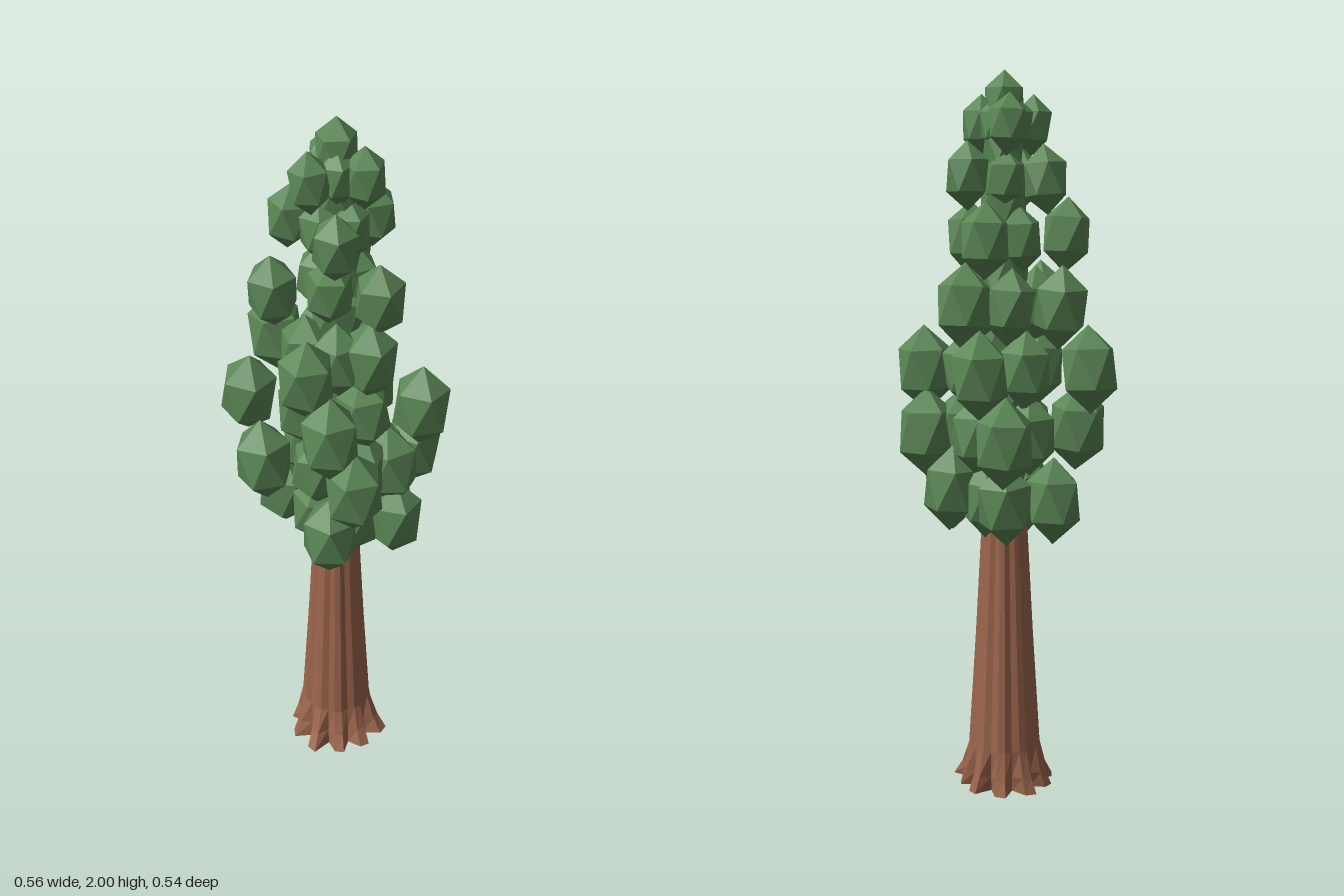
import * as THREE from 'three';

const bark = new THREE.MeshStandardMaterial({ color: 0x9c664d, flatShading: true });
bark.name = 'bark brown';
const leaf = new THREE.MeshStandardMaterial({ color: 0x5b8756, flatShading: true });
leaf.name = 'leaf green';

// small seeded random
let seed = 7;
const rnd = () => (seed = (seed * 16807) % 2147483647) / 2147483647;

// gently fluted trunk with a flared, irregular root edge
function trunkGeometry() {
  const shape = [1, 0.85, 0];
  const ridges = 10, n = ridges * shape.length;
  // [height, radius, groove depth, root flare]
  const rows = [[0, 0.108, 0.12, 1], [0.045, 0.107, 0.1, 0.45], [0.12, 0.103, 0.08, 0],
    [0.45, 0.082, 0.08, 0], [0.8, 0.063, 0.08, 0], [1.7, 0.025, 0.05, 0]];
  const flare = Array.from({ length: ridges }, () => 0.024 + 0.024 * rnd());
  const pos = [], idx = [];
  for (const [y, r, groove, root] of rows) {
    for (let i = 0; i < n; i++) {
      const a = (i / n) * Math.PI * 2;
      const s = shape[i % shape.length];
      const rad = r * (1 - groove * (1 - s)) + root * s * flare[Math.floor(i / shape.length)];
      // roots reach further to the front
      pos.push(Math.cos(a) * rad - 0.003 - 0.007 * root, y, Math.sin(a) * rad + 0.018 * root);
    }
  }
  for (let j = 0; j < rows.length - 1; j++) {
    for (let i = 0; i < n; i++) {
      const a = j * n + i, b = j * n + (i + 1) % n;
      idx.push(a, a + n, b, b, a + n, b + n);
    }
  }
  // closed underside and tip
  const base = pos.length / 3, last = (rows.length - 1) * n;
  pos.push(-0.01, 0, 0.018, -0.003, 1.7, 0);
  for (let i = 0; i < n; i++) {
    const k = (i + 1) % n;
    idx.push(base, i, k, base + 1, last + k, last + i);
  }
  const g = new THREE.BufferGeometry();
  g.setAttribute('position', new THREE.Float32BufferAttribute(pos, 3));
  g.setIndex(idx);
  g.computeVertexNormals();
  return g;
}

// tall faceted leaf clump, one corner pointing up
const clumpGeometry = new THREE.IcosahedronGeometry(1, 0);
clumpGeometry.rotateZ(Math.atan(2 / (1 + Math.sqrt(5))));
clumpGeometry.scale(1, 1.45, 1);

function addClump(parent, x, y, z, r, tilt = 0.16) {
  const m = new THREE.Mesh(clumpGeometry, leaf);
  m.name = 'leafClump';
  m.position.set(x, y, z);
  m.scale.setScalar(r);
  m.rotation.set((rnd() - 0.5) * tilt, rnd() * Math.PI * 2, (rnd() - 0.5) * tilt);
  parent.add(m);
}

// tiers of foliage: height, clump radius, [x, z, height offset] of each clump
const tiers = [
  [0.843, 0.083, [[0.11, 0.135, 0], [-0.09, 0.13, 0], [-0.1, -0.13, 0], [0.155, -0.01, 0.03], [0.04, -0.13, 0]]],
  [1.02, 0.086, [[0.2, 0.07, 0], [0.11, 0.1, -0.02], [-0.05, 0.195, 0], [-0.205, -0.04, 0.01], [0.065, -0.2, 0]]],
  [1.2, 0.084, [[0.185, 0.135, -0.01], [-0.115, 0.18, 0], [-0.205, -0.125, 0], [0.125, -0.175, 0]]],
  [1.37, 0.08, [[0.03, 0.125, 0], [-0.16, 0.135, 0], [-0.12, -0.125, 0], [0.15, -0.12, 0.01]]],
  [1.55, 0.072, [[0.05, 0.14, 0], [-0.18, -0.01, 0.01], [0.09, -0.115, 0]]],
  [1.71, 0.065, [[-0.065, 0.115, 0], [-0.085, -0.1, 0], [0.1, 0.005, 0.01]]],
  [1.855, 0.058, [[-0.095, 0.035, 0], [0.04, 0.07, 0], [0.01, -0.07, 0]]],
];

export function createModel() {
  const tree = new THREE.Group();
  tree.name = 'tallConifer';

  const trunk = new THREE.Mesh(trunkGeometry(), bark);
  trunk.name = 'trunk';
  tree.add(trunk);

  const crown = new THREE.Group();
  crown.name = 'crown';
  tiers.forEach(([y, r, clumps], t) => {
    const tier = new THREE.Group();
    tier.name = 'foliageTier' + (t + 1);
    for (const [x, z, dy] of clumps) addClump(tier, x, y + dy, z, r);
    // inner clumps fill the gaps around the trunk
    clumps.forEach(([x, z], i) => {
      const [x2, z2] = clumps[(i + 1) % clumps.length];
      addClump(tier, (x + x2) * 0.34, y, (z + z2) * 0.34, r * 0.92);
    });
    // core clumps close the column between tiers
    addClump(tier, 0, y, 0, r);
    if (t < 6) addClump(tier, 0, y + 0.085, 0, r);
    crown.add(tier);
  });

  // pointed top
  addClump(crown, -0.005, 1.913, 0.005, 0.06, 0);
  tree.add(crown);
  return tree;
}
